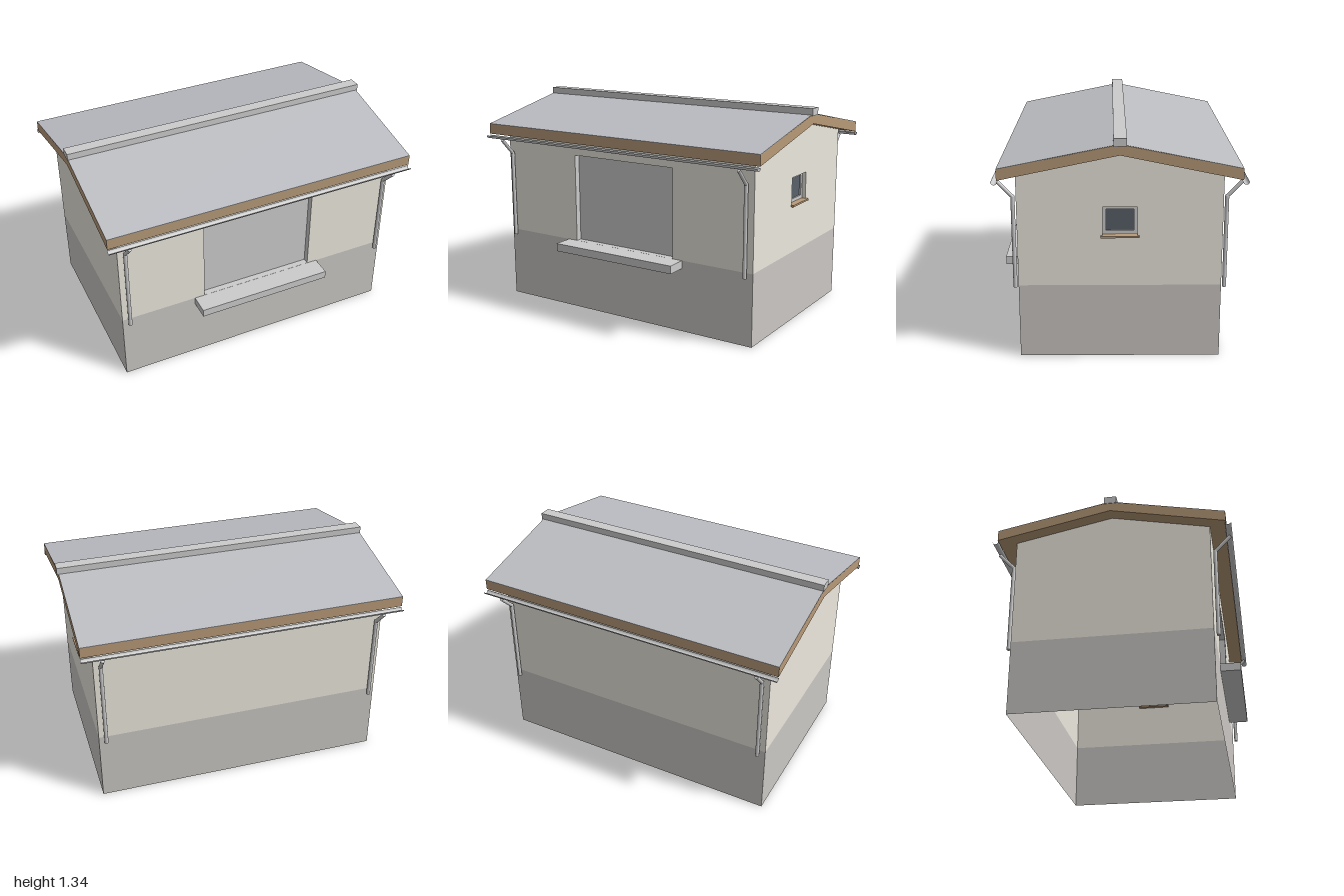
import * as THREE from 'three';

const mat = (color, side = THREE.FrontSide) => new THREE.MeshStandardMaterial({ color, side });
const WALL = mat(0xece8de, THREE.DoubleSide), PLINTH = mat(0xcac7c3, THREE.DoubleSide);
const GREY = mat(0xcccccc), SHEET = mat(0xcccccc, THREE.DoubleSide);
const ROOF = mat(0xbbbdc2), WOOD = mat(0xb79a78), GLASS = mat(0x59616b);

const HX = 0.912, HZ = 0.59, BASE = 0.45;      // half width, half depth, plinth height
const ROOF_HX = 0.9935, EAVE_Z = 0.687;

function add(parent, name, geometry, material, x = 0, y = 0, z = 0) {
  const mesh = new THREE.Mesh(geometry, material);
  mesh.name = name;
  mesh.position.set(x, y, z);
  parent.add(mesh);
  return mesh;
}

const box = (w, h, d) => new THREE.BoxGeometry(w, h, d);
const polygon = (pts) => new THREE.Shape(pts.map(([x, y]) => new THREE.Vector2(x, y)));
const rect = (x0, y0, x1, y1) => [[x0, y0], [x1, y0], [x1, y1], [x0, y1]];

function wall(parent, name, pts, material, hole) {
  const shape = polygon(pts);
  if (hole) shape.holes.push(polygon(hole));
  return add(parent, name, new THREE.ShapeGeometry(shape), material);
}

// Rectangular ring from an inner opening, t wide and d deep, with its front at z = 0
function ring(x, y0, y1, t, d) {
  const shape = polygon(rect(-x - t, y0 - t, x + t, y1 + t));
  shape.holes.push(polygon(rect(-x, y0, x, y1)));
  return new THREE.ExtrudeGeometry(shape, { depth: d, bevelEnabled: false }).translate(0, 0, -d);
}

// Round pipe between two points in the plane of constant x
function pipe(parent, name, x, [z0, y0], [z1, y1], r) {
  const dir = new THREE.Vector3(0, y1 - y0, z1 - z0);
  const mesh = add(parent, name, new THREE.CylinderGeometry(r, r, dir.length(), 16), GREY,
    x, (y0 + y1) / 2, (z0 + z1) / 2);
  mesh.quaternion.setFromUnitVectors(new THREE.Vector3(0, 1, 0), dir.normalize());
}

export function createModel() {
  const model = new THREE.Group();
  model.name = 'house';
  const house = new THREE.Group();
  house.name = 'building';
  house.position.x = -0.0035;
  model.add(house);

  // Long walls, the front one with a door opening down to the plinth
  const doorX = 0.367, doorTop = 1.01, wallTop = 1.15;
  const front = new THREE.Group();
  front.name = 'frontWall';
  front.position.z = HZ;
  house.add(front);
  wall(front, 'frontPlinth', rect(-HX, 0, HX, BASE), PLINTH);
  wall(front, 'frontUpperWall', [[-HX, BASE], [-doorX, BASE], [-doorX, doorTop], [doorX, doorTop],
    [doorX, BASE], [HX, BASE], [HX, wallTop], [-HX, wallTop]], WALL);
  add(front, 'doorReveal', ring(doorX, BASE, doorTop, 0.003, 0.044), GREY, 0, 0, -0.001);
  add(front, 'door', box(doorX * 2, doorTop - BASE, 0.01), GREY, 0, (doorTop + BASE) / 2, -0.045);
  add(front, 'doorStep', box(0.865, 0.05, 0.125), GREY, 0, 0.425, 0.0625);

  const back = new THREE.Group();
  back.name = 'backWall';
  back.position.z = -HZ;
  back.rotation.y = Math.PI;
  house.add(back);
  wall(back, 'backPlinth', rect(-HX, 0, HX, BASE), PLINTH);
  wall(back, 'backUpperWall', rect(-HX, BASE, HX, wallTop), WALL);

  // Gable walls, the one at +x with a window
  const winX = 0.1, win0 = 0.755, win1 = 0.925;
  for (const s of [1, -1]) {
    const gable = new THREE.Group();
    gable.name = s > 0 ? 'leftGable' : 'rightGable';
    gable.position.x = s * HX;
    gable.rotation.y = s * Math.PI / 2;
    house.add(gable);
    wall(gable, 'gablePlinth', rect(-HZ, 0, HZ, BASE), PLINTH);
    wall(gable, 'gableUpperWall', [[-HZ, BASE], [HZ, BASE], [HZ, wallTop], [0, 1.275], [-HZ, wallTop]],
      WALL, s > 0 ? rect(-winX, win0, winX, win1) : null);
    if (s < 0) continue;
    add(gable, 'windowReveal', ring(winX, win0, win1, 0.003, 0.045), WALL, 0, 0, -0.001);
    add(gable, 'windowFrame', ring(0.08, 0.778, 0.907, 0.021, 0.02), GREY, 0, 0, -0.025);
    add(gable, 'windowGlass', box(0.162, 0.132, 0.006), GLASS, 0, 0.8425, -0.038);
    add(gable, 'windowSill', box(0.222, 0.011, 0.045), WOOD, 0, 0.75, -0.005);
  }

  // Roof slab with a thin covering on both slopes
  const slab = (top, bottom) => new THREE.ExtrudeGeometry(polygon([
    [-EAVE_Z, bottom], [0, bottom + 0.143], [EAVE_Z, bottom],
    [EAVE_Z, top], [0, top + 0.14], [-EAVE_Z, top],
  ]), { depth: ROOF_HX * 2, bevelEnabled: false }).translate(0, 0, -ROOF_HX).rotateY(Math.PI / 2);
  add(house, 'roofSlab', slab(1.169, 1.105), WOOD);
  add(house, 'roofCovering', slab(1.172, 1.168), ROOF);
  add(model, 'ridgeCap', box(2, 0.045, 0.075), GREY, 0, 1.322, 0);

  // Open half-round gutters and bent downpipes
  for (const s of [1, -1]) {
    const gutter = add(house, s > 0 ? 'frontGutter' : 'backGutter',
      new THREE.CylinderGeometry(0.018, 0.018, ROOF_HX * 2, 16, 1, true, Math.PI / 2, Math.PI)
        .rotateY(Math.PI / 2).rotateZ(Math.PI / 2), SHEET, 0, 1.097, s * 0.701);
    // Keep the trough facing up
    gutter.geometry.computeBoundingBox();
    const b = gutter.geometry.boundingBox;
    if (b.max.y > 0.01 && b.min.y > -0.01) gutter.rotation.x = Math.PI;
    else if (b.max.z > 0.01 && b.min.z > -0.01) gutter.rotation.x = Math.PI / 2;
    else if (b.min.z < -0.01 && b.max.z < 0.01) gutter.rotation.x = -Math.PI / 2;
    for (const x of [-0.87, 0.87]) {
      const bend = [s * 0.613, 0.977];
      pipe(house, 'downpipe', x, [s * 0.613, 0.423], bend, 0.012);
      pipe(house, 'downpipeElbow', x, bend, [s * 0.705, 1.074], 0.011);
      add(house, 'downpipeJoint', new THREE.SphereGeometry(0.012, 16, 10), GREY, x, bend[1], bend[0]);
    }
  }
  return model;
}
